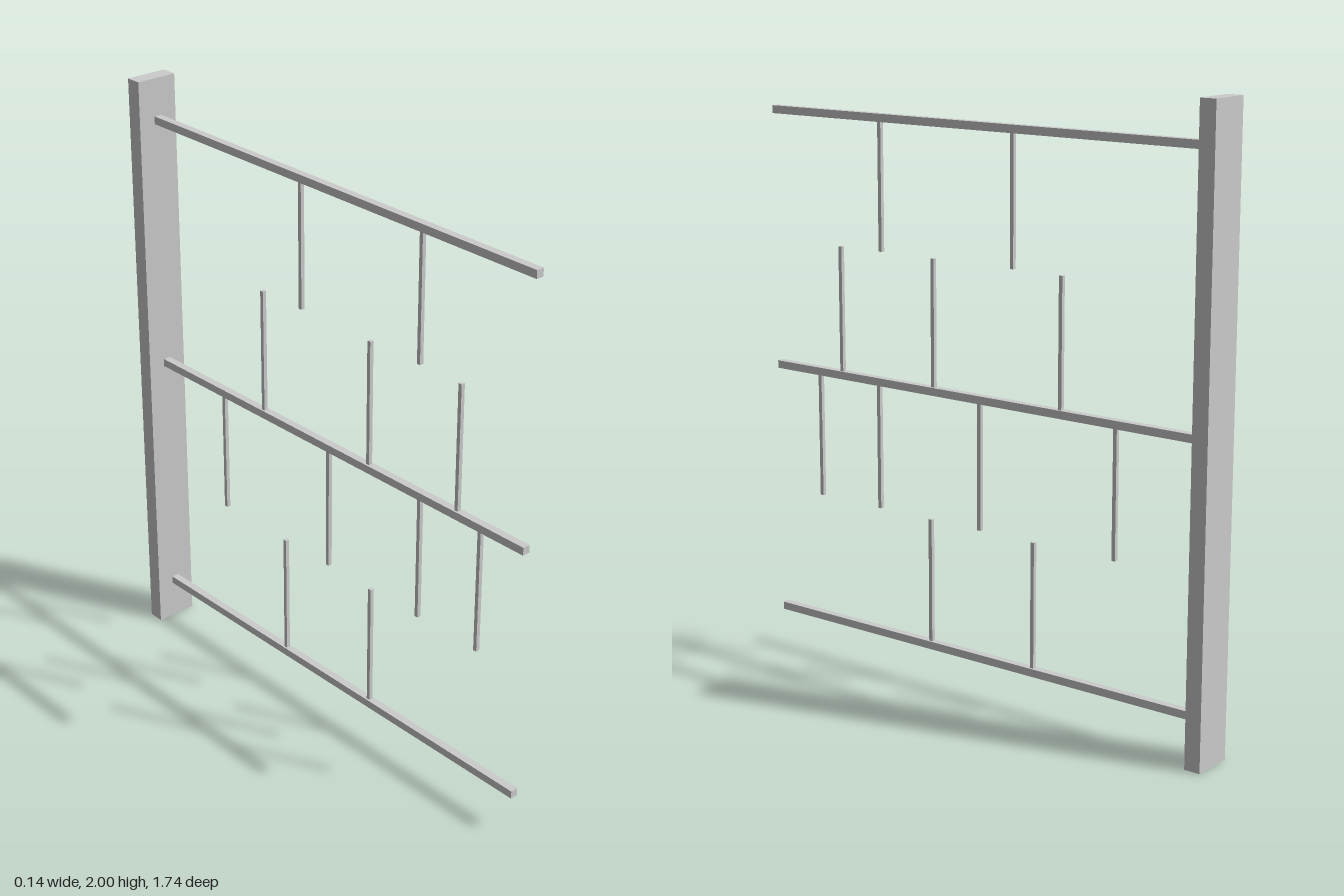
import * as THREE from 'three';

const material = new THREE.MeshStandardMaterial({ color: 0xcccccc, flatShading: true });

// Box spanning y0..y1 and z0..z1, centred on x = 0
function bar(name, width, y0, y1, z0, z1) {
  const mesh = new THREE.Mesh(new THREE.BoxGeometry(width, y1 - y0, z1 - z0), material);
  mesh.position.set(0, (y0 + y1) / 2, (z0 + z1) / 2);
  mesh.name = name;
  return mesh;
}

export function createModel() {
  const model = new THREE.Group();
  model.name = 'rack';

  // Upright board at the back
  const postFront = -0.818, depth = 0.872;
  model.add(bar('post', 0.143, 0, 2, -depth, postFront));

  // Three square rails running forward from the post
  const railSize = 0.026, half = railSize / 2;
  const [low, mid, high] = [0.146, 1.004, 1.862];
  for (const [name, y] of [['bottomRail', low], ['middleRail', mid], ['topRail', high]]) {
    model.add(bar(name, railSize, y - half, y + half, postFront, depth));
  }

  // Thin pegs: each row joins a rail to the halfway height between rails
  const pegSize = 0.013;
  const lowerHalf = (low + mid) / 2, upperHalf = (mid + high) / 2;
  const rows = [
    ['topHangingPeg', upperHalf, high - half, [0.417, -0.113]],
    ['middleStandingPeg', mid + half, upperHalf, [0.59, 0.202, -0.299]],
    ['middleHangingPeg', lowerHalf, mid - half, [0.688, 0.431, 0.015, -0.505]],
    ['bottomStandingPeg', low + half, lowerHalf, [0.216, -0.198]],
  ];
  for (const [name, y0, y1, places] of rows) {
    places.forEach((z, i) => {
      model.add(bar(name + (i + 1), pegSize, y0, y1, z - pegSize / 2, z + pegSize / 2));
    });
  }
  return model;
}
